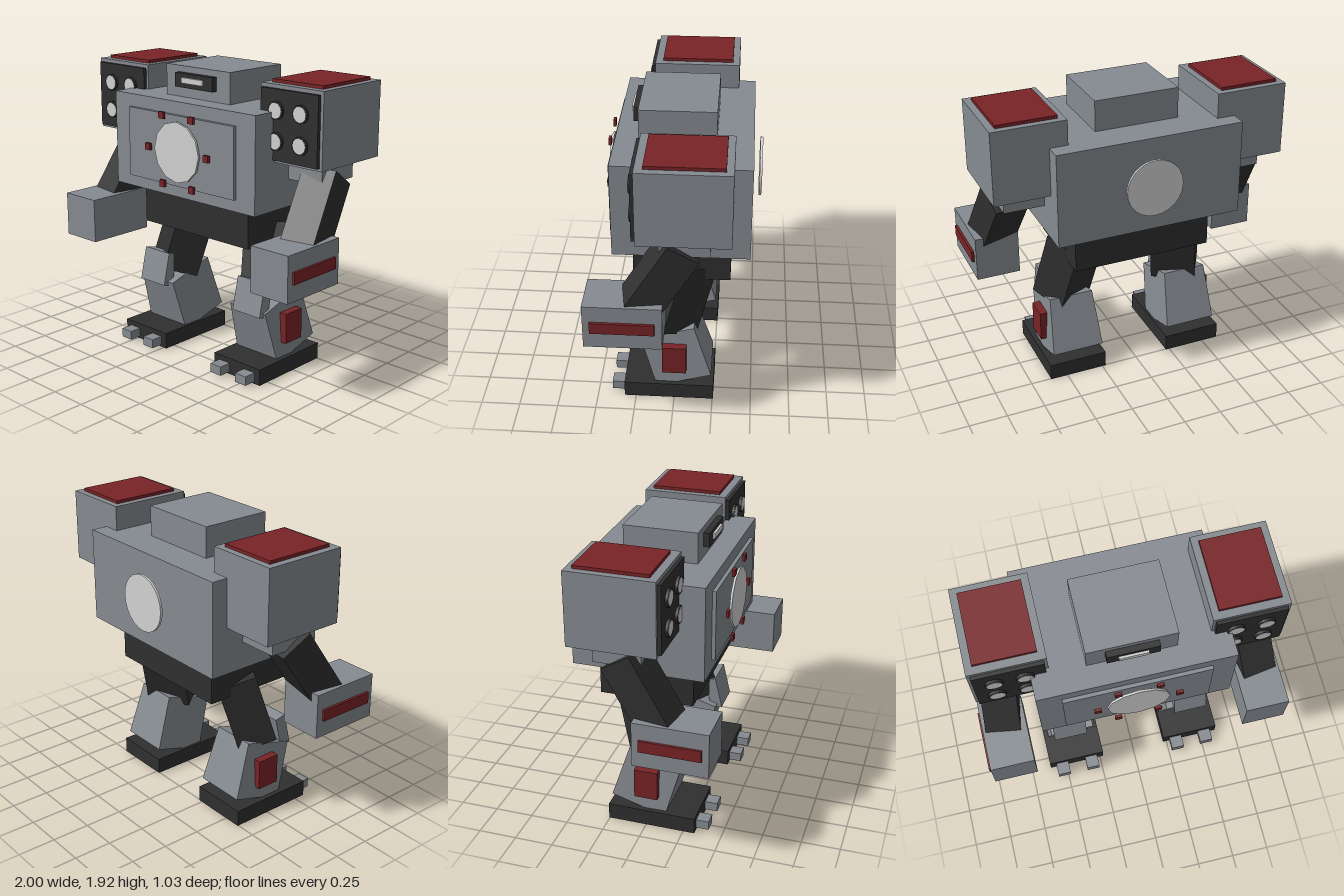
import * as THREE from 'three';

const mat = (name, color) => {
  const m = new THREE.MeshStandardMaterial({ color });
  m.name = name;
  return m;
};

export function createModel() {
  const gray = mat('armour gray', 0x868b91);
  const dark = mat('frame dark', 0x2f2f2f);
  const red = mat('accent red', 0x782326);
  const light = mat('lens light', 0xd2d2d2);

  const model = new THREE.Group();
  model.name = 'walkerRobot';

  const add = (parent, name, geometry, material) => {
    const mesh = new THREE.Mesh(geometry, material);
    mesh.name = name;
    parent.add(mesh);
    return mesh;
  };

  // Box given by its min and max on each axis
  const box = (parent, name, material, [x0, x1], [y0, y1], [z0, z1]) => {
    const mesh = add(parent, name, new THREE.BoxGeometry(x1 - x0, y1 - y0, z1 - z0), material);
    mesh.position.set((x0 + x1) / 2, (y0 + y1) / 2, (z0 + z1) / 2);
    return mesh;
  };

  // Disc facing along z
  const disc = (parent, name, material, r, sides, x, y, z, depth) => {
    const g = new THREE.CylinderGeometry(r, r, depth, sides).rotateX(Math.PI / 2);
    const mesh = add(parent, name, g, material);
    mesh.position.set(x, y, z);
    return mesh;
  };

  // Square-section limb running between two joints
  const limb = (parent, name, material, from, to, w, d) => {
    const a = new THREE.Vector3(...from), b = new THREE.Vector3(...to);
    const mesh = add(parent, name, new THREE.BoxGeometry(w, d, a.distanceTo(b)), material);
    mesh.position.copy(a).add(b).multiplyScalar(0.5);
    mesh.lookAt(b);
    return mesh;
  };

  // Torso, pelvis and head
  box(model, 'torso', gray, [-0.607, 0.607], [1.11, 1.72], [-0.463, 0.376]);
  box(model, 'chestPlate', gray, [-0.457, 0.457], [1.187, 1.638], [0.37, 0.4]);
  box(model, 'pelvis', dark, [-0.457, 0.457], [0.845, 1.11], [-0.345, 0.265]);
  box(model, 'head', gray, [-0.275, 0.275], [1.7, 1.917], [-0.24, 0.233]);
  box(model, 'visor', dark, [-0.16, 0.16], [1.787, 1.877], [0.22, 0.272]);
  box(model, 'visorLight', light, [-0.09, 0.09], [1.818, 1.853], [0.27, 0.287]);

  // Chest lens with six studs around it, and the rear lens
  disc(model, 'chestLens', light, 0.194, 12, 0, 1.412, 0.421, 0.014);
  for (let i = 0; i < 6; i++) {
    const a = (i * Math.PI) / 3;
    const x = 0.255 * Math.cos(a), y = 1.412 + 0.253 * Math.sin(a);
    box(model, 'chestStud', red, [x - 0.022, x + 0.022], [y - 0.022, y + 0.022], [0.414, 0.432]);
  }
  disc(model, 'rearLens', light, 0.185, 24, 0, 1.415, -0.511, 0.016);

  for (const s of [1, -1]) {
    const side = new THREE.Group();
    side.name = s > 0 ? 'leftSide' : 'rightSide';
    model.add(side);
    const sbox = (name, m, [x0, x1], y, z) =>
      box(side, name, m, s > 0 ? [x0, x1] : [-x1, -x0], y, z);

    // Shoulder launcher
    sbox('launcherPod', gray, [0.49, 0.96], [1.41, 1.88], [-0.355, 0.195]);
    sbox('launcherTopPlate', red, [0.535, 0.915], [1.878, 1.9], [-0.312, 0.145]);
    sbox('launcherFace', dark, [0.508, 0.94], [1.428, 1.857], [0.19, 0.218]);
    for (const x of [0.633, 0.818]) {
      for (const y of [1.547, 1.733]) {
        disc(side, 'launchTube', dark, 0.056, 12, s * x, y, 0.224, 0.02);
        disc(side, 'missileTip', light, 0.047, 12, s * x, y, 0.233, 0.006);
      }
    }

    // Arm
    sbox('shoulderBlock', gray, [0.55, 0.866], [1.285, 1.42], [-0.23, 0.07]);
    limb(side, 'upperArm', dark, [s * 0.8, 1.32, -0.06], [s * 0.845, 0.88, 0.22], 0.225, 0.22);
    sbox('forearm', gray, [0.7, 0.984], [0.695, 0.987], [0.042, 0.515]);
    sbox('forearmStripe', red, [0.98, 1], [0.805, 0.88], [0.087, 0.473]);

    // Thigh
    limb(side, 'thigh', dark, [s * 0.347, 0.93, -0.08], [s * 0.42, 0.476, 0.043], 0.3, 0.25);

    // Shin, slightly wider at the ankle
    const shinGeo = new THREE.BoxGeometry(0.345, 0.375, 0.37);
    const p = shinGeo.attributes.position;
    for (let i = 0; i < p.count; i++) {
      if (p.getY(i) > 0) {
        p.setX(i, p.getX(i) * 0.85);
        p.setZ(i, p.getZ(i) * 0.96);
      }
    }
    shinGeo.computeVertexNormals();
    const shin = add(side, 'shin', shinGeo, gray);
    shin.position.set(s * 0.412, 0.3, -0.008);
    shin.rotation.x = 0.29;
    sbox('shinPlate', red, [0.56, 0.615], [0.205, 0.405], [-0.078, 0.076]);

    // Knee guard
    const knee = add(side, 'kneeGuard', new THREE.BoxGeometry(0.227, 0.222, 0.078), gray);
    knee.position.set(s * 0.428, 0.508, 0.186);
    knee.rotation.x = -0.23;

    // Foot and toes
    sbox('foot', dark, [0.225, 0.615], [0, 0.108], [-0.255, 0.325]);
    for (const x of [0.315, 0.527]) {
      sbox('toe', gray, [x - 0.044, x + 0.044], [0.015, 0.075], [0.3, 0.408]);
    }
  }
  return model;
}
